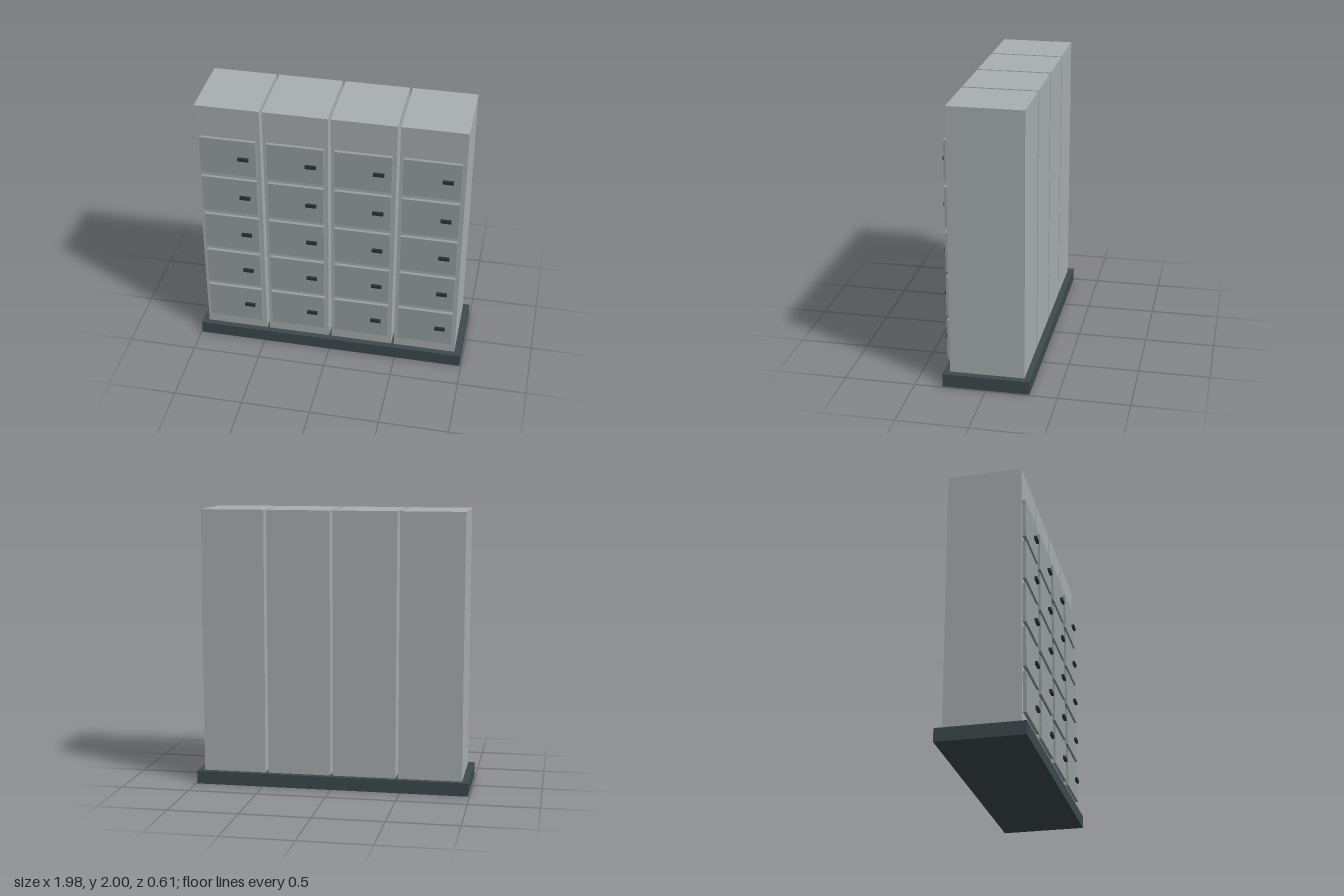
import * as THREE from 'three';

export function createModel() {
  const model = new THREE.Group();
  model.name = 'lockerBank';

  const paint = (color) => new THREE.MeshStandardMaterial({ color });
  const bodyPaint = paint(0xa9afb0);
  const doorPaint = paint(0x98a0a1);
  const basePaint = paint(0x3d4a4d);
  const handlePaint = paint(0x2a3337);

  function addBox(parent, name, material, [w, h, d], [x, y, z]) {
    const mesh = new THREE.Mesh(new THREE.BoxGeometry(w, h, d), material);
    mesh.name = name;
    mesh.position.set(x, y, z);
    parent.add(mesh);
  }

  const baseHeight = 0.095;
  const bodyHeight = 2 - baseHeight;
  const bodyFront = 0.262;
  const doorDepth = 0.024;
  const handleDepth = 0.019;

  // Plinth under all columns
  addBox(model, 'plinth', basePaint, [1.98, baseHeight, 0.61], [0, baseHeight / 2, 0]);

  // Four separate columns with narrow gaps, five doors each
  for (let col = 0; col < 4; col++) {
    const column = new THREE.Group();
    column.name = 'lockerColumn';
    column.position.x = (col - 1.5) * 0.476;
    addBox(column, 'cabinet', bodyPaint, [0.456, bodyHeight, bodyFront * 2],
      [0, baseHeight + bodyHeight / 2, 0]);

    for (let row = 0; row < 5; row++) {
      const y = 0.326 + row * 0.3235;
      addBox(column, 'door', doorPaint, [0.4, 0.285, doorDepth],
        [0, y, bodyFront + doorDepth / 2]);
      addBox(column, 'handle', handlePaint, [0.076, 0.023, handleDepth],
        [0.111, y, bodyFront + doorDepth + handleDepth / 2]);
    }
    model.add(column);
  }
  return model;
}
